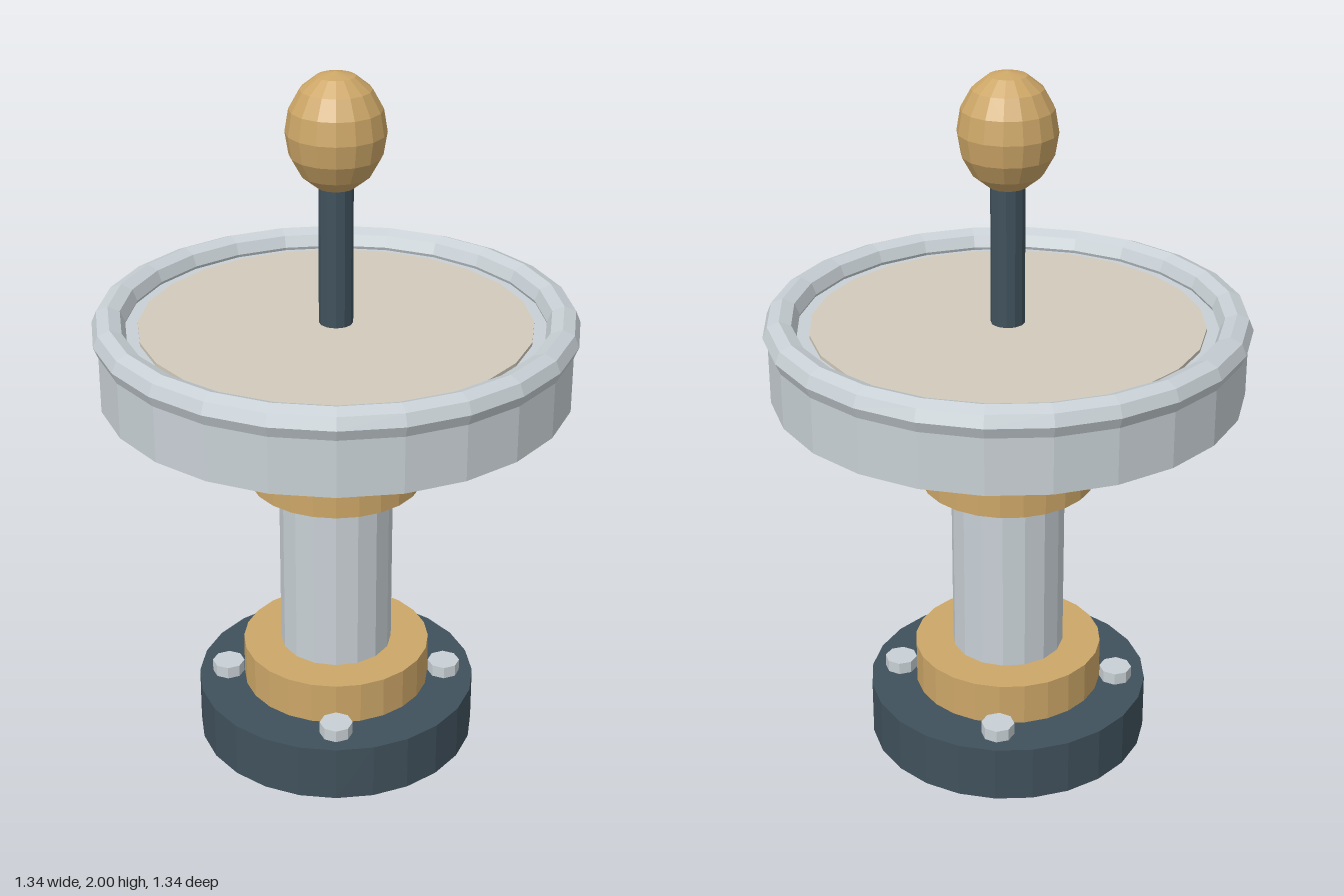
import * as THREE from 'three';

export function createModel() {
  const model = new THREE.Group();
  const material = (name, color) => {
    const m = new THREE.MeshStandardMaterial({ color, flatShading: true });
    m.name = name;
    return m;
  };
  const steel = material('steel', 0xc8d0d5);
  const brass = material('brass', 0xcca667);
  const dark = material('dark iron', 0x40515c);
  const cream = material('cream', 0xd2cbbc);

  const add = (name, geometry, mat, x, y, z) => {
    const mesh = new THREE.Mesh(geometry, mat);
    mesh.name = name;
    mesh.position.set(x, y, z);
    model.add(mesh);
    return mesh;
  };
  // Upright cylinder between two heights
  const drum = (name, r, y0, y1, sides, mat, x = 0, z = 0) =>
    add(name, new THREE.CylinderGeometry(r, r, y1 - y0, sides), mat, x, (y0 + y1) / 2, z);

  // Pedestal
  drum('base', 0.406, 0, 0.165, 24, dark);
  drum('lowerCollar', 0.272, 0.165, 0.288, 24, brass);
  drum('column', 0.162, 0.288, 0.82, 16, steel);
  drum('upperCollar', 0.246, 0.82, 0.981, 24, brass);

  // Four bolts around the base
  for (let i = 0; i < 4; i++) {
    const a = (i * Math.PI) / 2;
    drum('bolt', 0.047, 0.16, 0.201, 8, steel, 0.32 * Math.cos(a), 0.32 * Math.sin(a));
  }

  // Floating pan with a rounded rim and an inset plate
  drum('pan', 0.655, 1.107, 1.288, 24, steel);
  const rim = new THREE.TorusGeometry(0.622, 0.046, 8, 24).rotateX(Math.PI / 2);
  add('rim', rim, steel, 0, 1.297, 0);
  drum('plate', 0.542, 1.28, 1.298, 24, cream);

  // Handle
  drum('stem', 0.047, 1.298, 1.72, 12, dark);
  add('knob', new THREE.SphereGeometry(0.135, 16, 8).scale(1, 1.2, 1), brass, 0, 1.838, 0);

  return model;
}
